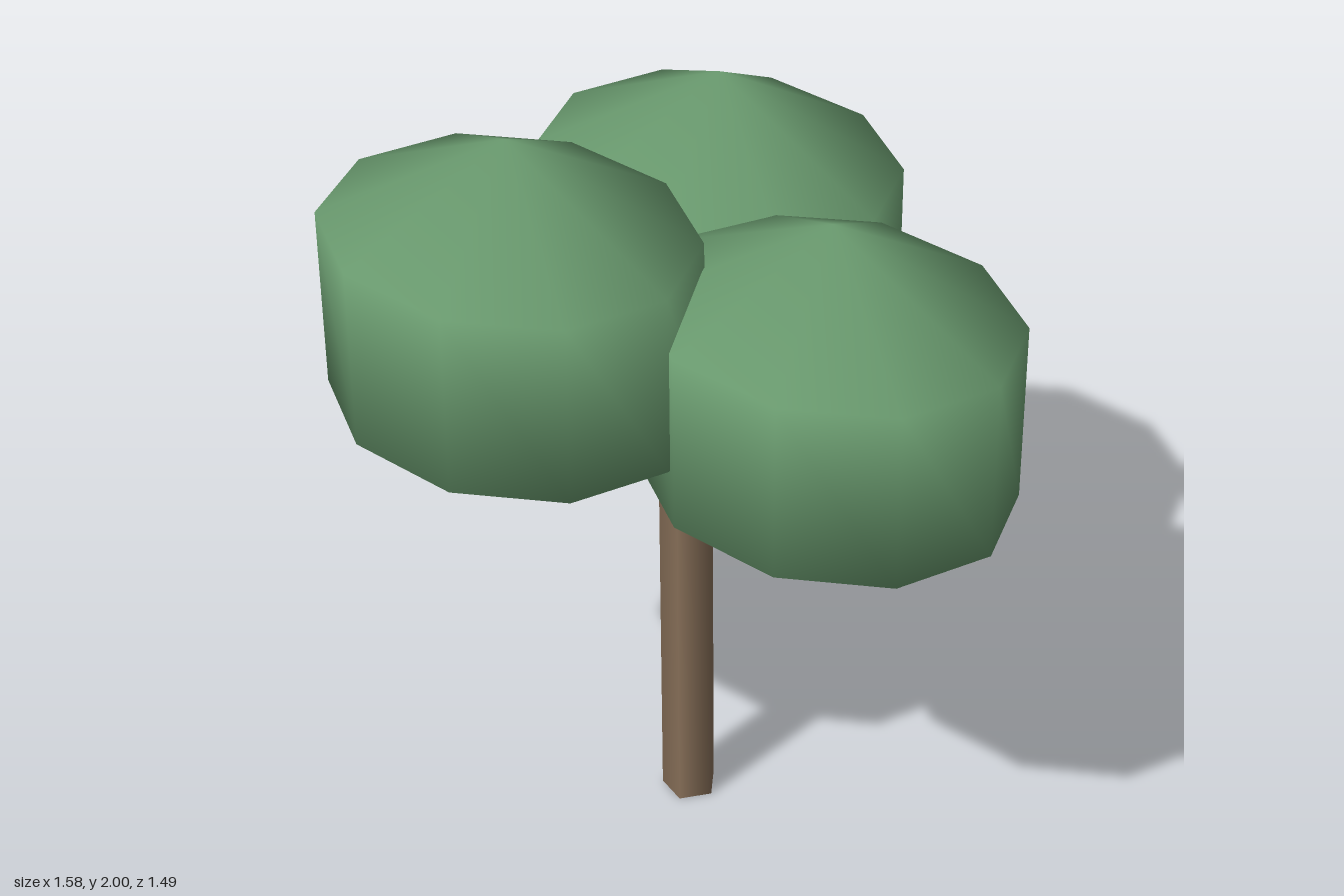
import * as THREE from 'three';

export function createModel() {
  const tree = new THREE.Group();
  tree.name = 'tree';

  const leafGreen = new THREE.MeshStandardMaterial({ name: 'leaf green', color: 0x6b9c70 });
  const barkBrown = new THREE.MeshStandardMaterial({ name: 'bark brown', color: 0x876f58 });

  // Five-sided trunk with one edge towards +x, its top hidden in the leaves
  const trunkHeight = 1.3;
  const trunk = new THREE.Mesh(
    new THREE.CylinderGeometry(0.071, 0.071, trunkHeight, 5, 1, false, Math.PI / 2),
    barkBrown
  );
  trunk.name = 'trunk';
  trunk.position.set(-0.107, trunkHeight / 2, 0);
  tree.add(trunk);

  // Three coarse, smooth-shaded leaf clusters, wider along x
  const clusterGeometry = new THREE.SphereGeometry(1, 10, 3);
  clusterGeometry.scale(0.545, 0.459, 0.455 * 0.953 / 0.951);
  const clusters = [
    ['frontLeaves', -0.318, 1.541, 0.37],
    ['backLeaves', -0.318, 1.397, -0.37],
    ['leftLeaves', 0.318, 1.397, 0],
  ];
  for (const [name, x, y, z] of clusters) {
    const cluster = new THREE.Mesh(clusterGeometry, leafGreen);
    cluster.name = name;
    cluster.position.set(x, y, z);
    tree.add(cluster);
  }

  return tree;
}
